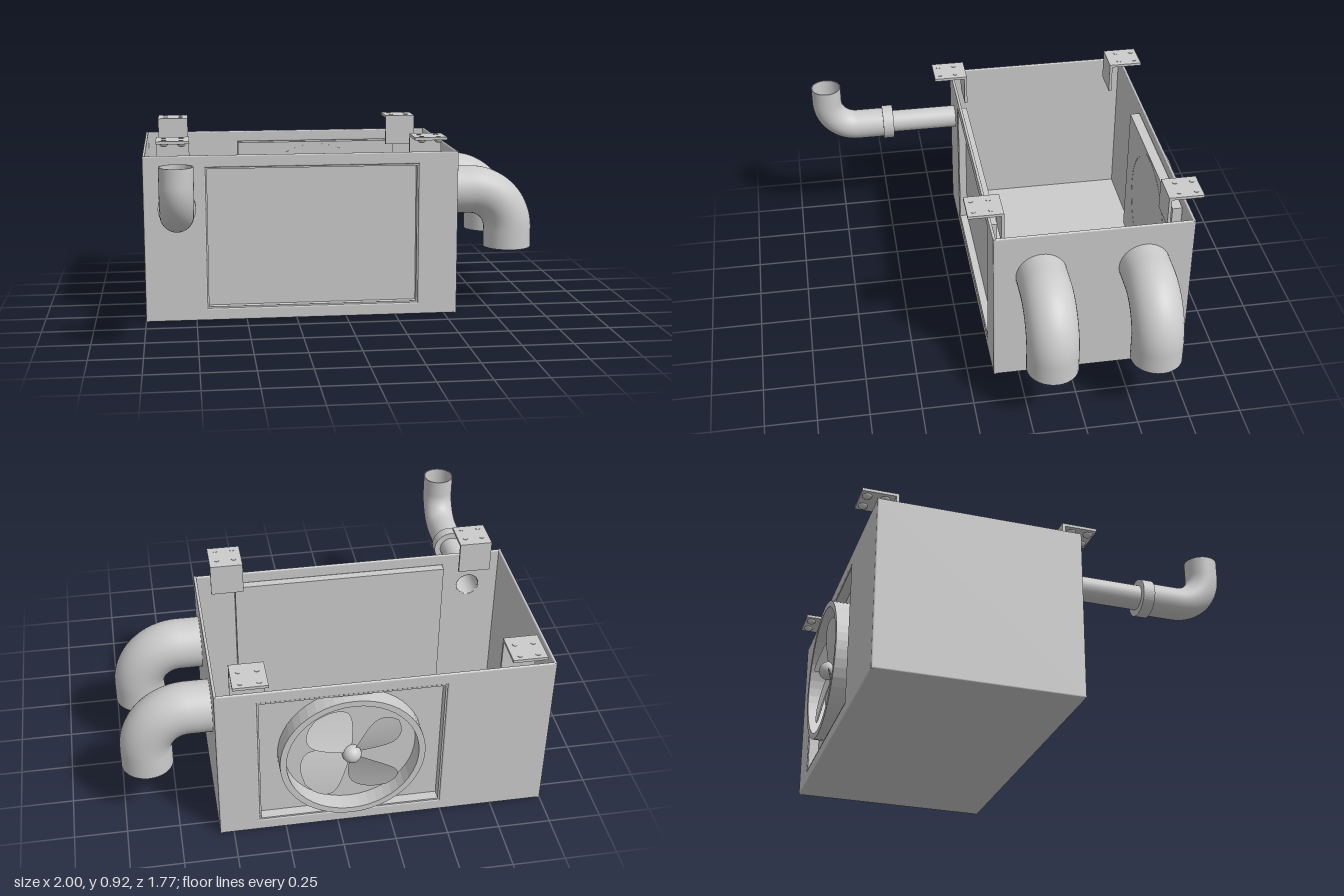
import * as THREE from 'three';

const mat = new THREE.MeshStandardMaterial({ color: 0xcccccc });
const thin = new THREE.MeshStandardMaterial({ color: 0xcccccc, side: THREE.DoubleSide });
const X0 = -1, X1 = 0.565, Z0 = -0.835, Z1 = 0.125, H = 0.83, T = 0.014;

function add(parent, name, geo, x = 0, y = 0, z = 0, m = mat) {
  const mesh = new THREE.Mesh(geo, m);
  mesh.name = name;
  mesh.position.set(x, y, z);
  parent.add(mesh);
  return mesh;
}

// box given by its extents
function block(parent, name, x0, x1, y0, y1, z0, z1) {
  return add(parent, name, new THREE.BoxGeometry(x1 - x0, y1 - y0, z1 - z0),
    (x0 + x1) / 2, (y0 + y1) / 2, (z0 + z1) / 2);
}

const rectPoints = (x0, x1, y0, y1) =>
  [[x0, y0], [x1, y0], [x1, y1], [x0, y1]].map(p => new THREE.Vector2(...p));
const circleHole = (x, y, r) => new THREE.Path().absarc(x, y, r, 0, Math.PI * 2, true);

// sheet with rounded rims and optional holes, lying between z = 0 and z = T
function sheet(x0, x1, y0, y1, holes = []) {
  const shape = new THREE.Shape(rectPoints(x0, x1, y0, y1));
  shape.holes.push(...holes);
  const b = T / 2 - 0.0005;
  const geo = new THREE.ExtrudeGeometry(shape, {
    depth: 0.001, bevelThickness: b, bevelSize: b, bevelOffset: -b, bevelSegments: 3, curveSegments: 24,
  });
  return geo.translate(0, 0, b);
}

// recessed pan set into a wall, from the wall's outer face to its floor
function pan(parent, name, x0, x1, y0, y1, zFace, zFloor) {
  const g = new THREE.Group();
  g.name = name;
  parent.add(g);
  const s = Math.sign(zFace - zFloor), t = 0.008;
  const a = Math.min(zFace - s * 0.004, zFloor), b = Math.max(zFace - s * 0.004, zFloor);
  block(g, 'panFloor', x0, x1, y0, y1, Math.min(zFloor, zFloor + s * t), Math.max(zFloor, zFloor + s * t));
  block(g, 'panSide', x0, x0 + t, y0, y1, a, b);
  block(g, 'panSide', x1 - t, x1, y0, y1, a, b);
  block(g, 'panSide', x0, x1, y0, y0 + t, a, b);
  block(g, 'panSide', x0, x1, y1 - t, y1, a, b);
}

// hollow elbow pipe: straight run, quarter bend at the corner, straight run to the outlet
function elbow(parent, name, start, corner, end, bend, r, wall) {
  const dirIn = corner.clone().sub(start).normalize();
  const dirOut = end.clone().sub(corner).normalize();
  const a = corner.clone().addScaledVector(dirIn, -bend);
  const b = corner.clone().addScaledVector(dirOut, bend);
  const k = 0.5523 * bend;
  const path = new THREE.CurvePath();
  path.add(new THREE.LineCurve3(start, a));
  path.add(new THREE.CubicBezierCurve3(a, a.clone().addScaledVector(dirIn, k),
    b.clone().addScaledVector(dirOut, -k), b));
  path.add(new THREE.LineCurve3(b, end));
  const g = new THREE.Group();
  g.name = name;
  parent.add(g);
  add(g, 'pipeOutside', new THREE.TubeGeometry(path, 48, r, 36), 0, 0, 0, thin);
  add(g, 'pipeInside', new THREE.TubeGeometry(path, 48, r - wall, 36), 0, 0, 0, thin);
  for (const [p, d] of [[start, dirIn], [end, dirOut]]) {
    const rim = add(g, 'pipeRim', new THREE.RingGeometry(r - wall, r, 36), p.x, p.y, p.z, thin);
    rim.quaternion.setFromUnitVectors(new THREE.Vector3(0, 0, 1), d);
  }
}

// closed ring profile turned around the z axis
function ring(rOut, rIn, z0, z1) {
  const pts = [[rIn, z0], [rOut, z0], [rOut, z1], [rIn, z1], [rIn, z0]].map(p => new THREE.Vector2(...p));
  const geo = new THREE.LatheGeometry(pts, 48).toNonIndexed().rotateX(Math.PI / 2);
  geo.computeVertexNormals();
  return geo;
}

// pitched blade, narrow at the hub and broad near a rounded tip
function bladeGeometry() {
  const geo = new THREE.PlaneGeometry(1, 1, 16, 8);
  const p = geo.attributes.position;
  for (let i = 0; i < p.count; i++) {
    const u = p.getX(i) + 0.5, v = p.getY(i) * 2;
    const width = 0.022 * (1 - u) + 0.115 * Math.pow(Math.sin(Math.PI * Math.pow(u, 1.6)), 0.6);
    const pitch = 0.6 - 0.25 * u;
    const y = v * width;
    p.setXYZ(i, 0.025 + 0.25 * u, y * Math.cos(pitch) + 0.03 * u * u, y * Math.sin(pitch) * 0.7);
  }
  geo.computeVertexNormals();
  return geo;
}

export function createModel() {
  const model = new THREE.Group();
  model.name = 'ventilationUnit';

  // open-topped casing
  const casing = new THREE.Group();
  casing.name = 'casing';
  model.add(casing);
  const frontPan = [-0.695, 0.365, 0.06, 0.77];
  const backPan = [-0.495, 0.375, 0.06, 0.77];
  const intake = { x: -0.835, y: 0.638 };
  const ductZ = [-0.105, -0.6], ductY = 0.598, ductR = 0.123;
  add(casing, 'frontWall', sheet(X0, X1, 0, H,
    [new THREE.Path(rectPoints(...frontPan)), circleHole(intake.x, intake.y, 0.055)]), 0, 0, Z1 - T);
  add(casing, 'backWall', sheet(X0, X1, 0, H, [new THREE.Path(rectPoints(...backPan))]), 0, 0, Z0);
  add(casing, 'leftWall', sheet(-Z1, -Z0, 0, H, ductZ.map(z => circleHole(-z, ductY, ductR - 0.008))),
    X1 - T).rotation.y = Math.PI / 2;
  add(casing, 'rightWall', sheet(-Z1, -Z0, 0, H), X0).rotation.y = Math.PI / 2;
  add(casing, 'floor', sheet(X0, X1, -Z1, -Z0)).rotation.x = -Math.PI / 2;
  pan(casing, 'frontRecess', ...frontPan, Z1, 0.075);
  pan(casing, 'backRecess', ...backPan, Z0, -0.775);

  // two downward ducts on the left side
  for (const z of ductZ) {
    elbow(model, 'sideDuct', new THREE.Vector3(0.545, ductY, z), new THREE.Vector3(0.875, ductY, z),
      new THREE.Vector3(0.875, 0.295, z), 0.205, ductR, 0.008);
  }

  // front pipe with collar and upturned elbow
  const { x, y } = intake;
  add(model, 'intakePipe', new THREE.CylinderGeometry(0.058, 0.058, 0.38, 36, 1, true).rotateX(Math.PI / 2),
    x, y, 0.3, thin);
  add(model, 'intakeCollar', ring(0.088, 0.05, 0.462, 0.518), x, y, 0);
  elbow(model, 'intakeElbow', new THREE.Vector3(x, y, 0.5), new THREE.Vector3(x, y, 0.808),
    new THREE.Vector3(x, 0.88, 0.808), 0.155, 0.077, 0.005);

  // fan in the back recess, facing -z
  const fan = new THREE.Group();
  fan.name = 'fan';
  fan.position.set(-0.06, 0.418, -0.775);
  fan.rotation.y = Math.PI;
  model.add(fan);
  add(fan, 'shroud', ring(0.34, 0.31, -0.001, 0.095));
  add(fan, 'axle', new THREE.CylinderGeometry(0.02, 0.02, 0.06, 20).rotateX(Math.PI / 2), 0, 0, 0.03);
  add(fan, 'hub', new THREE.SphereGeometry(0.045, 24, 16), 0, 0, 0.06);
  const blade = bladeGeometry();
  for (let i = 0; i < 4; i++) {
    add(fan, 'blade', blade, 0, 0, 0.055, thin).rotation.z = 0.55 + i * Math.PI / 2;
  }

  // four hanging brackets, each with four bolts
  const boltHead = new THREE.SphereGeometry(0.022, 16, 6, 0, Math.PI * 2, Math.PI / 2, Math.PI / 2).scale(1, 0.8, 1);
  const shank = new THREE.CylinderGeometry(0.012, 0.012, 0.018, 16);
  for (const bx of [-0.85, 0.405]) {
    for (const [bz, dir] of [[0.065, 1], [-0.725, -1]]) {
      const bracket = new THREE.Group();
      bracket.name = 'bracket';
      bracket.position.set(bx, 0, bz);
      if (dir < 0) bracket.rotation.y = Math.PI;
      model.add(bracket);
      block(bracket, 'bracketUpright', -0.08, 0.08, 0.755, 0.915, -0.005, 0.009);
      block(bracket, 'bracketPlate', -0.08, 0.08, 0.901, 0.915, -0.005, 0.165);
      for (const sx of [-0.042, 0.042]) {
        for (const sz of [0.052, 0.135]) {
          add(bracket, 'boltHead', boltHead, sx, 0.902, sz);
          add(bracket, 'boltShank', shank, sx, 0.908, sz);
        }
      }
    }
  }
  return model;
}
